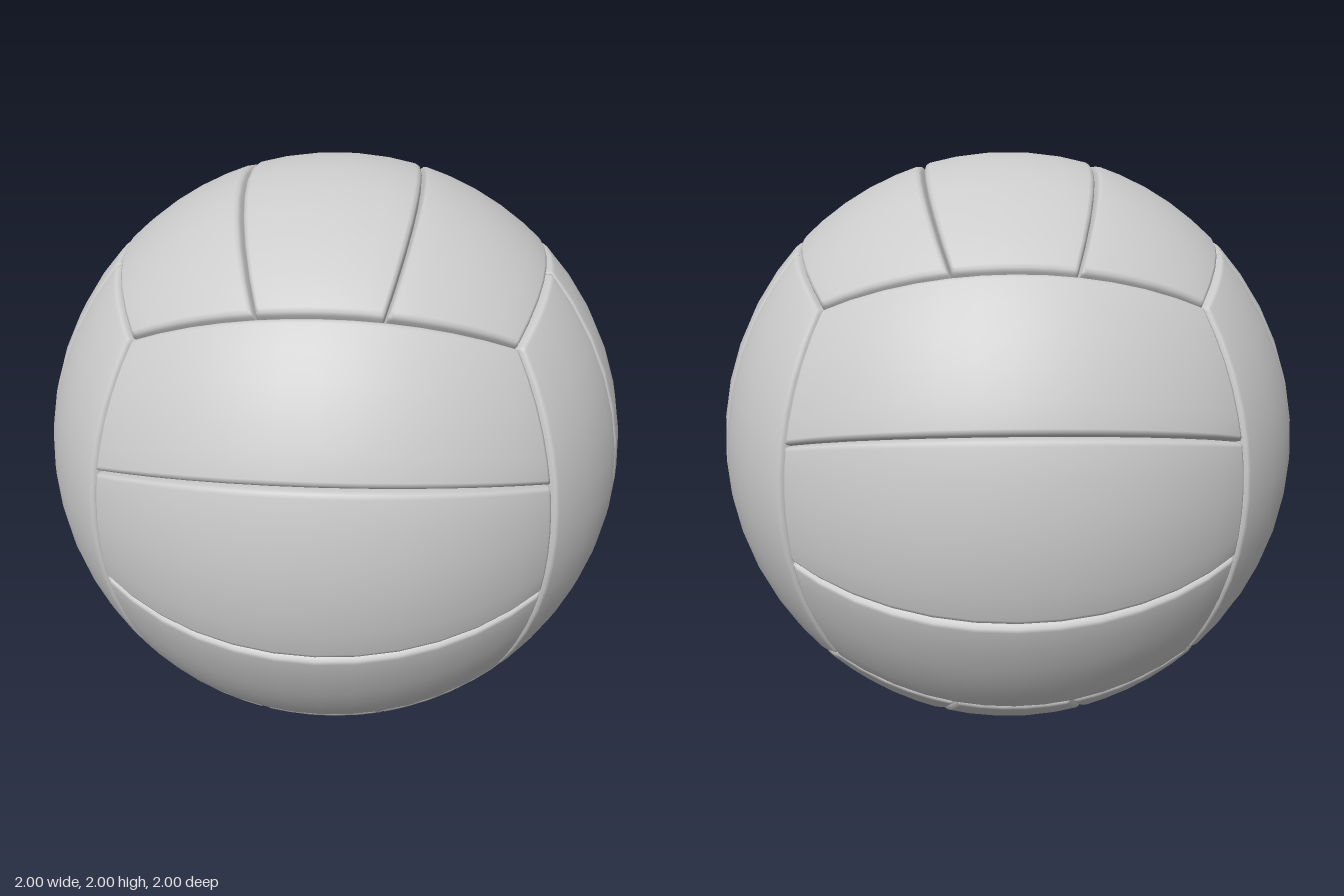
import * as THREE from 'three';

// Rounded rim of a panel: distance from the seam -> depth below the ball surface
const RIM = [[0, 0.035], [0.005, 0.014], [0.012, 0.004], [0.024, 0]];

// Stations (position 0..1 and depth) across a span: fine at both rims, even between
function stations(length, segments) {
  const start = RIM.map(([d, depth]) => ({ p: d / length, depth }));
  const end = start.map(({ p, depth }) => ({ p: 1 - p, depth })).reverse();
  const middle = [];
  for (let i = 1; i < segments; i++) middle.push({ p: i / segments, depth: 0 });
  return [...start, ...middle, ...end];
}

// One panel: a patch of the cube-sphere face on the given axis and side; strip is 0, 1 or 2
function panelGeometry(axis, side, strip) {
  const long = stations(1.45, 12), across = stations(0.52, 5);
  const positions = [], index = [];
  for (const v of across) {
    for (const u of long) {
      const s = Math.tan((u.p * 2 - 1) * Math.PI / 4);
      // the inner seams draw slightly together towards the ends of the face
      const seam = Math.atan(0.303 - 0.037 * s * s);
      const bounds = [-Math.PI / 4, -seam, seam, Math.PI / 4];
      const t = Math.tan(THREE.MathUtils.lerp(bounds[strip], bounds[strip + 1], v.p));
      const point = new THREE.Vector3();
      point.setComponent(axis, side);
      point.setComponent((axis + 1) % 3, s * side);
      point.setComponent((axis + 2) % 3, t);
      point.setLength(1 - Math.max(u.depth, v.depth));
      positions.push(point.x, point.y, point.z);
    }
  }
  const n = long.length;
  for (let j = 0; j < across.length - 1; j++) {
    for (let i = 0; i < n - 1; i++) {
      const a = j * n + i;
      index.push(a, a + 1, a + n + 1, a, a + n + 1, a + n);
    }
  }
  const geometry = new THREE.BufferGeometry();
  geometry.setAttribute('position', new THREE.Float32BufferAttribute(positions, 3));
  geometry.setIndex(index);
  geometry.computeVertexNormals();
  return geometry;
}

export function createModel() {
  const ball = new THREE.Group();
  ball.name = 'volleyball';
  const material = new THREE.MeshStandardMaterial({ color: 0xcccccc });
  const faceNames = [['right', 'left'], ['bottom', 'top'], ['back', 'front']];

  // Six faces of three strips; the strip direction turns from axis to axis
  for (let axis = 0; axis < 3; axis++) {
    for (const side of [-1, 1]) {
      const face = new THREE.Group();
      face.name = faceNames[axis][side > 0 ? 1 : 0] + 'Panels';
      for (let strip = 0; strip < 3; strip++) {
        const panel = new THREE.Mesh(panelGeometry(axis, side, strip), material);
        panel.name = 'panel' + (strip + 1);
        face.add(panel);
      }
      ball.add(face);
    }
  }
  ball.position.y = 1;

  const model = new THREE.Group();
  model.name = 'ball';
  model.add(ball);
  return model;
}
